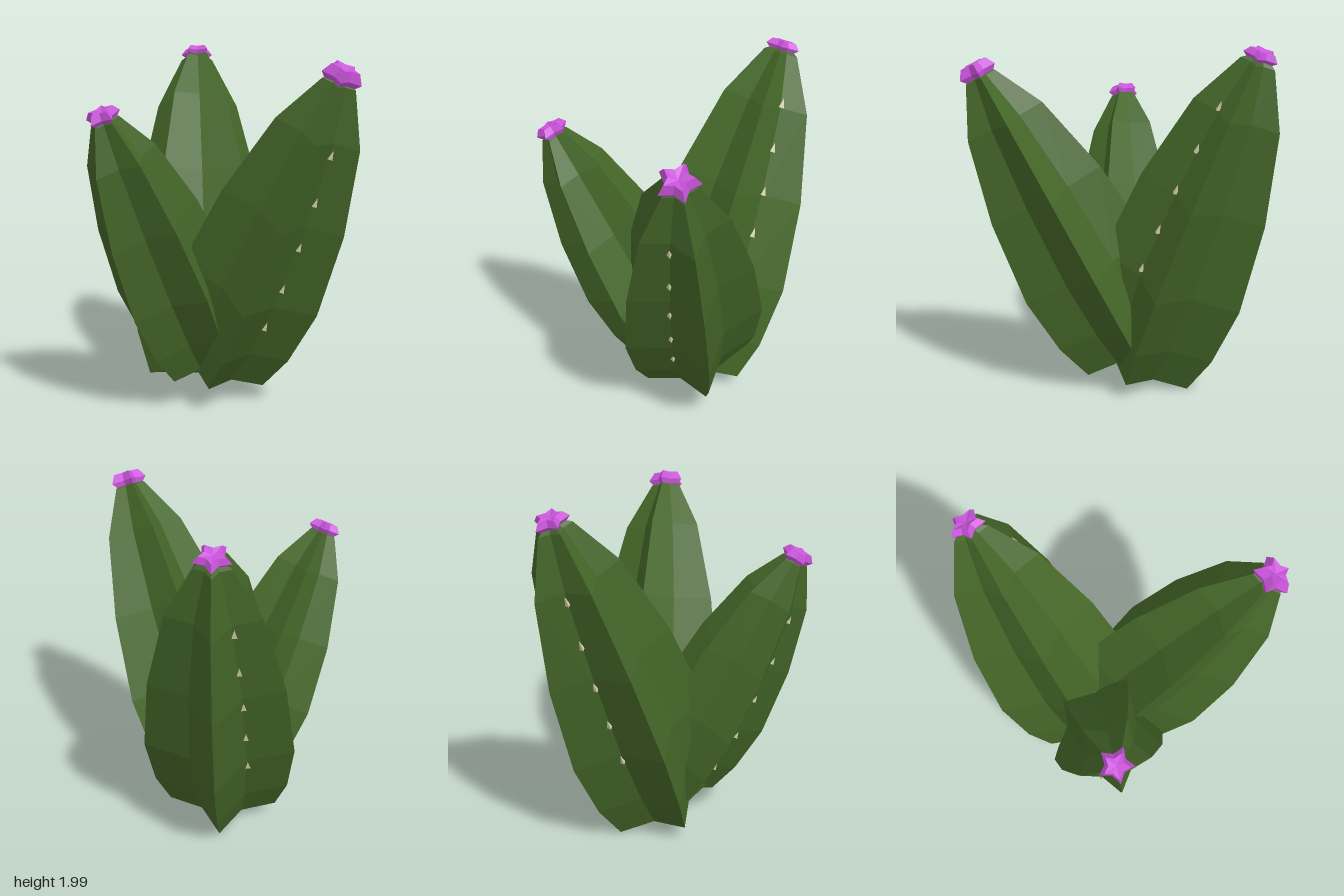
import * as THREE from 'three';

const green = new THREE.MeshStandardMaterial({ color: 0x446628, flatShading: true });
green.name = 'cactus green';
const purple = new THREE.MeshStandardMaterial({ color: 0xcb54dc, flatShading: true });
purple.name = 'flower purple';
const cream = new THREE.MeshStandardMaterial({ color: 0xd6d2ae, flatShading: true });
cream.name = 'spine cream';

const SIDES = 10; // five ribs and five valleys
const VALLEY = 0.61;
// height along the stem, rib radius
const STEM = [[0, 0.334], [0.245, 0.408], [0.615, 0.443], [1.14, 0.383], [1.635, 0.257], [1.92, 0.1], [1.95, 0.05]];
const FLOWER = [[-0.05, 0.05], [0, 0.105], [0.038, 0.075]];

// Closed five-pointed star solid lofted through [height, radius] rings
function starLoft(rings, valley, bottomY, topY) {
  const pos = [];
  const pt = (j, i) => {
    const [y, r] = rings[j];
    const t = (i * Math.PI * 2) / SIDES;
    const q = i % 2 ? r * valley : r;
    return [Math.cos(t) * q, y, Math.sin(t) * q];
  };
  const last = rings.length - 1;
  for (let i = 0; i < SIDES; i++) {
    const n = i + 1;
    for (let j = 0; j < last; j++) {
      const a = pt(j, i), b = pt(j, n), c = pt(j + 1, i), d = pt(j + 1, n);
      // split each quad so its diagonal runs the same way on both sides of a rib
      if (i % 2) pos.push(...a, ...c, ...d, ...a, ...d, ...b);
      else pos.push(...a, ...c, ...b, ...c, ...d, ...b);
    }
    pos.push(0, bottomY, 0, ...pt(0, i), ...pt(0, n));
    pos.push(0, topY, 0, ...pt(last, n), ...pt(last, i));
  }
  const g = new THREE.BufferGeometry();
  g.setAttribute('position', new THREE.Float32BufferAttribute(pos, 3));
  g.computeVertexNormals();
  return g;
}

// Rib radius at a height on the stem
function ribRadius(y) {
  for (let j = 1; j < STEM.length; j++) {
    const [y0, r0] = STEM[j - 1], [y1, r1] = STEM[j];
    if (y <= y1) return r0 + ((r1 - r0) * (y - y0)) / (y1 - y0);
  }
  return 0;
}

const stemGeometry = starLoft(STEM, VALLEY, 0, 1.96);
const flowerGeometry = starLoft(FLOWER, 0.58, -0.05, 0.022);
const spineGeometry = new THREE.ConeGeometry(0.017, 0.055, 3);

// base: centre of the foot; tip: flower centre; rib: direction of the first rib
const STEMS = [
  { name: 'backStem', base: [-0.05, 0.135, 0.03], tip: [-0.05, 1.945, -0.7], rib: [0, -0.373, -0.928],
    scale: 1, flower: [0.95, 0.85], spines: [[-36, 0.6, 1.6], [108, 0.677, 1.667]] },
  { name: 'leftStem', base: [0.015, 0.23, 0.08], tip: [0.583, 1.843, 0.677], rib: [0.82, -0.42, 0.384],
    scale: 0.93, flower: [1.13, 1.4], spines: [[36, 0.48, 1.58]] },
  { name: 'rightStem', base: [-0.08, 0.275, 0.12], tip: [-0.59, 1.645, 0.53], rib: [-0.878, -0.19, -0.43],
    scale: 0.777, flower: [1.17, 1.25], spines: [[-36, 0.27, 1.55]] },
];

function makeStem(spec) {
  const group = new THREE.Group();
  group.name = spec.name;

  const body = new THREE.Mesh(stemGeometry, green);
  body.name = 'ribbedBody';
  group.add(body);

  const flower = new THREE.Mesh(flowerGeometry, purple);
  flower.name = 'flower';
  flower.position.y = 1.955;
  flower.scale.set(spec.flower[0], spec.flower[1], spec.flower[0]);
  group.add(flower);

  // rows of five spines standing in the valleys
  for (const [deg, from, to] of spec.spines) {
    const t = THREE.MathUtils.degToRad(deg);
    for (let i = 0; i < 5; i++) {
      const y = from + ((to - from) * i) / 4;
      const r = ribRadius(y) * VALLEY + 0.015;
      const spine = new THREE.Mesh(spineGeometry, cream);
      spine.name = 'spine';
      spine.position.set(Math.cos(t) * r, y, Math.sin(t) * r);
      spine.rotation.y = -t;
      group.add(spine);
    }
  }

  // lean the stem from its foot towards its tip
  const base = new THREE.Vector3(...spec.base);
  const up = new THREE.Vector3(...spec.tip).sub(base).normalize();
  const side = new THREE.Vector3(...spec.rib);
  side.addScaledVector(up, -side.dot(up)).normalize();
  const third = new THREE.Vector3().crossVectors(side, up);
  group.quaternion.setFromRotationMatrix(new THREE.Matrix4().makeBasis(side, up, third));
  group.position.copy(base);
  group.scale.setScalar(spec.scale);
  return group;
}

export function createModel() {
  const model = new THREE.Group();
  model.name = 'cactus';
  for (const spec of STEMS) model.add(makeStem(spec));
  return model;
}
